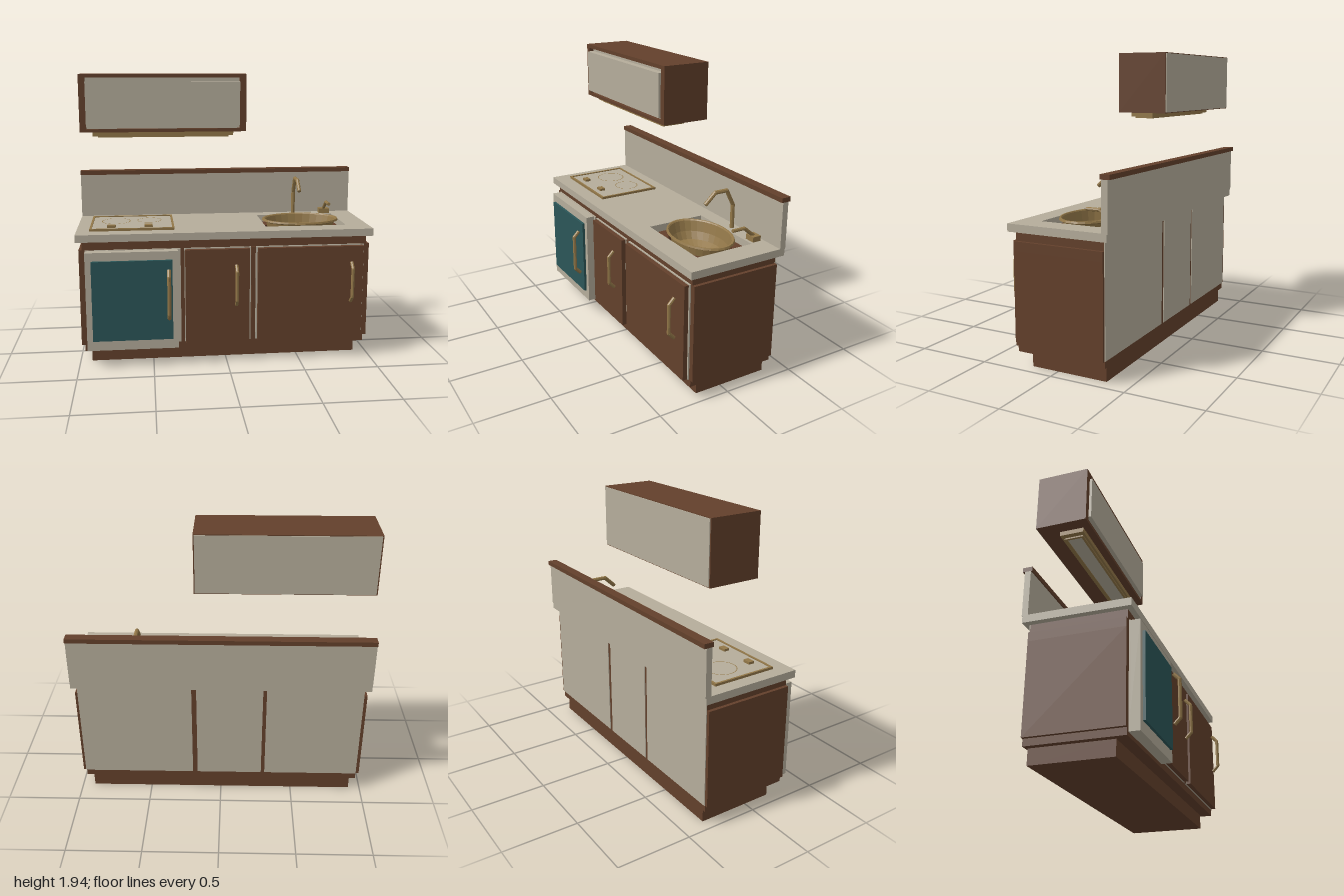
import * as THREE from 'three';

export function createModel() {
  const model = new THREE.Group();
  model.name = 'kitchenette';

  const mat = (name, color, side = THREE.FrontSide) => {
    const m = new THREE.MeshStandardMaterial({ color, side, flatShading: true });
    m.name = name;
    return m;
  };
  const wood = mat('brown wood', 0x63402b);
  const cream = mat('cream', 0xb5ad9b);
  const teal = mat('teal', 0x2b5658);
  const brass = mat('brass', 0x927748, THREE.DoubleSide);

  const add = (name, geometry, material, parent = model) => {
    const mesh = new THREE.Mesh(geometry, material);
    mesh.name = name;
    parent.add(mesh);
    return mesh;
  };

  // Box given by its limits on each axis
  const box = (name, material, [x0, x1], [y0, y1], [z0, z1]) => {
    const g = new THREE.BoxGeometry(x1 - x0, y1 - y0, z1 - z0);
    g.translate((x0 + x1) / 2, (y0 + y1) / 2, (z0 + z1) / 2);
    return add(name, g, material);
  };

  const rect = (x0, x1, y0, y1, Type = THREE.Shape) => new Type([
    [x0, y0], [x1, y0], [x1, y1], [x0, y1],
  ].map(([x, y]) => new THREE.Vector2(x, y)));

  // Horizontal slab drawn in x and z, hanging down from its top
  const slab = (name, material, shape, hole, top, depth) => {
    shape.holes.push(hole);
    const g = new THREE.ExtrudeGeometry(shape, { depth, bevelEnabled: false, curveSegments: 16 });
    g.rotateX(Math.PI / 2).translate(0, top, 0);
    return add(name, g, material);
  };

  // Bent rod through points given as [z, y] at one x
  const rod = (name, x, points, radius) => {
    const group = new THREE.Group();
    group.name = name;
    const pts = points.map(([z, y]) => new THREE.Vector3(x, y, z));
    pts.slice(1).forEach((b, i) => {
      const a = pts[i];
      const dir = b.clone().sub(a);
      const seg = add('rodSection', new THREE.CylinderGeometry(radius, radius, dir.length(), 8), brass, group);
      seg.position.copy(a).add(b).multiplyScalar(0.5);
      seg.quaternion.setFromUnitVectors(new THREE.Vector3(0, 1, 0), dir.normalize());
      if (i > 0) add('rodBend', new THREE.SphereGeometry(radius, 8, 6), brass, group).position.copy(a);
    });
    model.add(group);
  };

  // Base cabinet; its upper part is cut out for the bowl
  const sinkX = 0.565, sinkZ = -0.055, sinkRX = 0.275, sinkRZ = 0.193;
  box('toeKick', wood, [-0.92, 0.915], [0, 0.1], [-0.34, 0.185]);
  box('cabinetPlinth', wood, [-0.96, 0.96], [0.1, 0.145], [-0.355, 0.26]);
  box('cabinetBody', wood, [-0.982, 0.982], [0.145, 0.74], [-0.355, 0.26]);
  const bowlHole = () => new THREE.Path().absellipse(sinkX, sinkZ, sinkRX * 0.93, sinkRZ * 0.93, 0, Math.PI * 2);
  slab('cabinetUpperBody', wood, rect(-0.982, 0.982, -0.355, 0.26), bowlHole(), 0.8, 0.06);
  slab('cabinetTop', wood, rect(-0.96, 0.96, -0.355, 0.26), bowlHole(), 0.86, 0.06);

  // Compartment liners, seen at the door edges and as back panels
  for (const [x0, x1] of [[-0.96, -0.31], [-0.285, 0.165], [0.198, 0.945]]) {
    box('compartmentFront', cream, [x0 < -0.9 ? -0.94 : x0, x1], [0.145, 0.8], [0.26, 0.27]);
    box('backPanel', cream, [x0, x1 > 0.9 ? 0.965 : x1], [0.145, 0.86], [-0.36, -0.355]);
  }
  box('dividerStrip', wood, [0.169, 0.194], [0.145, 0.8], [0.26, 0.272]);

  // Doors and refrigerator
  box('narrowDoor', wood, [-0.28, 0.153], [0.145, 0.793], [0.27, 0.3]);
  box('wideDoor', wood, [0.21, 0.935], [0.145, 0.793], [0.27, 0.3]);
  box('refrigeratorDoor', cream, [-0.94, -0.33], [0.125, 0.797], [0.26, 0.328]);
  box('refrigeratorPanel', teal, [-0.9, -0.368], [0.195, 0.74], [0.328, 0.345]);
  for (const x of [0.062, 0.85]) {
    rod('doorHandle', x, [[0.315, 0.685], [0.353, 0.645], [0.353, 0.45], [0.315, 0.41]], 0.012);
  }
  rod('refrigeratorHandle', -0.393, [[0.365, 0.678], [0.403, 0.638], [0.403, 0.385], [0.365, 0.345]], 0.013);

  // Counter, splashback and cap
  slab('countertop', cream, rect(-1, 1, -0.392, 0.295), rect(0.283, 0.845, -0.255, 0.153, THREE.Path), 0.91, 0.05);
  box('splashback', cream, [-1, 1], [0.905, 1.215], [-0.397, -0.357]);
  box('splashbackCap', wood, [-1, 1], [1.215, 1.245], [-0.412, -0.348]);

  // Oval sink bowl
  const bowl = add('sinkBowl', new THREE.LatheGeometry([
    [0, 0.77], [0.5, 0.775], [0.74, 0.8], [0.84, 0.85], [0.91, 0.918], [0.94, 0.925], [0.98, 0.925], [1, 0.913], [0.93, 0.905],
  ].map(([r, y]) => new THREE.Vector2(r, y)), 28), brass);
  bowl.scale.set(sinkRX, 1, sinkRZ);
  bowl.position.set(sinkX, 0, sinkZ);

  // Spout and tap lever
  rod('spout', 0.565, [[-0.308, 0.91], [-0.308, 1.075], [-0.255, 1.18], [-0.165, 1.18], [-0.09, 1.11]], 0.014);
  box('tapBase', brass, [0.76, 0.835], [0.91, 0.945], [-0.335, -0.275]);
  rod('tapLever', 0.797, [[-0.305, 0.94], [-0.23, 1.003], [-0.14, 1.003]], 0.012);

  // Cooktop with trim, burner rings and controls
  box('cooktopPlate', cream, [-0.9, -0.355], [0.91, 0.92], [-0.25, 0.18]);
  slab('cooktopTrim', brass, rect(-0.912, -0.345, -0.26, 0.188), rect(-0.898, -0.359, -0.246, 0.174, THREE.Path), 0.926, 0.016);
  for (const [x, z, r] of [[-0.742, -0.085, 0.1], [-0.51, -0.1, 0.085]]) {
    const ring = new THREE.RingGeometry(r - 0.005, r, 32);
    ring.rotateX(-Math.PI / 2).translate(x, 0.922, z);
    add('burnerRing', ring, brass);
  }
  for (const x of [-0.768, -0.518]) {
    box('cooktopControl', brass, [x - 0.028, x + 0.028], [0.92, 0.936], [0.092, 0.132]);
  }

  // Wall cabinet: open frame, liner and recessed door
  const frame = rect(-0.968, 0.167, 1.55, 1.94);
  frame.holes.push(rect(-0.925, 0.123, 1.572, 1.915, THREE.Path));
  const frameGeometry = new THREE.ExtrudeGeometry(frame, { depth: 0.34, bevelEnabled: false });
  add('wallCabinetFrame', frameGeometry.translate(0, 0, -0.36), wood);
  box('wallCabinetLiner', cream, [-0.925, 0.123], [1.572, 1.915], [-0.36, -0.05]);
  box('wallCabinetBack', cream, [-0.96, 0.16], [1.555, 1.935], [-0.365, -0.36]);
  box('wallCabinetDoor', cream, [-0.924, 0.122], [1.593, 1.89], [-0.05, -0.003]);

  // Lamp below the wall cabinet
  box('lampHousing', brass, [-0.885, 0.083], [1.52, 1.55], [-0.23, -0.07]);
  slab('lampRim', brass, rect(-0.85, 0.05, -0.212, -0.085), rect(-0.835, 0.035, -0.197, -0.1, THREE.Path), 1.52, 0.01);
  box('lampLens', cream, [-0.835, 0.035], [1.514, 1.52], [-0.197, -0.1]);

  return model;
}
